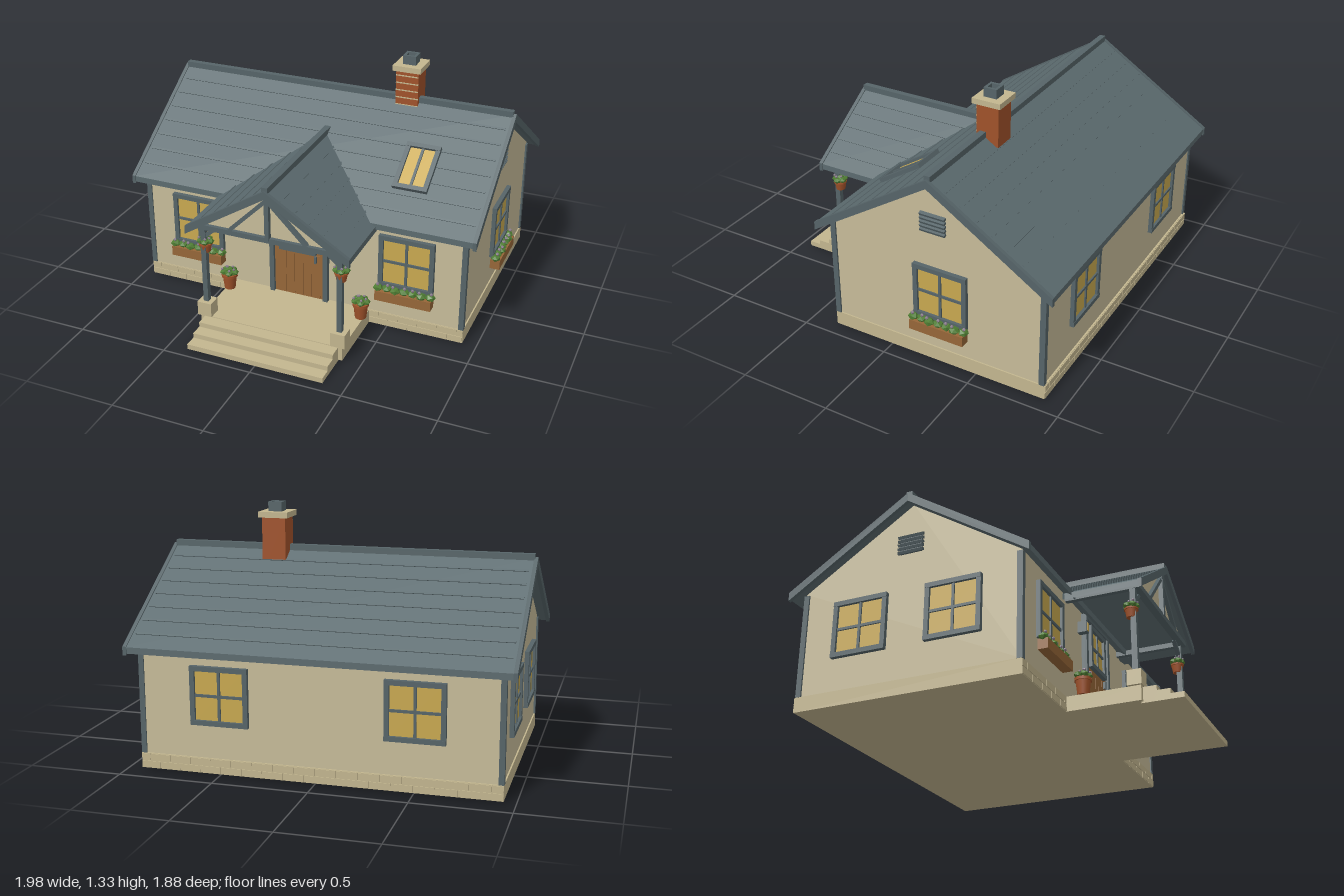
import * as THREE from 'three';

const mat = (name, color) => {
  const m = new THREE.MeshStandardMaterial({ color });
  m.name = name;
  return m;
};
const M = {
  wall: mat('plaster', 0xc6bb99), stone: mat('stone', 0xc3b68f), roof: mat('slate', 0x5c6b6f),
  trim: mat('painted trim', 0x566468), glass: mat('lit glass', 0xc8a850), wood: mat('wood', 0x966638),
  brick: mat('terracotta brick', 0xa0522a), leaf: mat('leaf', 0x4f7d33), bloom: mat('bloom', 0x8a7c8c),
};
const SLOPE = 0.64, RIDGE_Z = -0.27, RIDGE_Y = 1.08, FLOOR = 0.087;

function add(parent, name, geo, material, x = 0, y = 0, z = 0) {
  const m = new THREE.Mesh(geo, material);
  m.name = name;
  m.position.set(x, y, z);
  parent.add(m);
  return m;
}
const box = (p, name, material, w, h, d, x, y, z) =>
  add(p, name, new THREE.BoxGeometry(w, h, d), material, x, y, z);

function group(parent, name, x = 0, y = 0, z = 0, ry = 0) {
  const g = new THREE.Group();
  g.name = name;
  g.position.set(x, y, z);
  g.rotation.y = ry;
  parent.add(g);
  return g;
}

// straight bar between two points in a plane of constant z
function bar(p, name, x0, y0, x1, y1, z, w, d) {
  const m = box(p, name, M.trim, Math.hypot(x1 - x0, y1 - y0), w, d, (x0 + x1) / 2, (y0 + y1) / 2, z);
  m.rotation.z = Math.atan2(y1 - y0, x1 - x0);
}

function extrude(points, depth) {
  const shape = new THREE.Shape(points.map(([x, y]) => new THREE.Vector2(x, y)));
  return new THREE.ExtrudeGeometry(shape, { depth, bevelEnabled: false });
}

// folded roof section running along z
const chevron = (top, half, slope, t, depth) => extrude([
  [0, top], [-half, top - half * slope], [-half, top - half * slope - t],
  [0, top - t], [half, top - half * slope - t], [half, top - half * slope]], depth);

// sheet, raised course lines, rake boards and ridge cap; clip trims the rear end
function gableRoof(p, name, top, half, slope, z0, z1, courses, rakes, clip = g => g) {
  const g = group(p, name), len = z1 - z0;
  add(g, 'roofSheet', clip(chevron(top, half, slope, 0.033, len).translate(0, 0, z0)), M.roof);
  for (const s of [-1, 1]) for (let i = 1; i <= courses; i++) {
    const d = half * i / (courses + 1);
    const geo = new THREE.BoxGeometry(0.012, 0.008, len - 0.04).rotateZ(-s * Math.atan(slope))
      .translate(s * d, top - slope * d, (z0 + z1) / 2);
    add(g, 'roofCourse', clip(geo), M.roof);
  }
  for (const z of rakes) add(g, 'rakeBoard', chevron(top + 0.006, half + 0.004, slope, 0.046, 0.02), M.trim, 0, 0, z);
  add(g, 'ridgeCap', clip(new THREE.BoxGeometry(0.034, 0.032, len).translate(0, top + 0.006, (z0 + z1) / 2)), M.trim);
  return g;
}

// framed window facing +z, centred on its origin
function windowUnit(p, name, w, h, x, y, z, ry = 0, cross = true) {
  const g = group(p, name, x, y, z, ry), f = 0.025;
  box(g, 'pane', M.glass, w - f, h - f, 0.008, 0, 0, 0.004);
  for (const s of [-1, 1]) {
    box(g, 'frameSide', M.trim, f, h, 0.022, s * (w - f) / 2, 0, 0.011);
    box(g, 'frameRail', M.trim, w, f, 0.024, 0, s * (h - f) / 2, 0.012);
  }
  box(g, 'mullion', M.trim, 0.014, h - f, 0.016, 0, 0, 0.008);
  if (cross) box(g, 'crossbar', M.trim, w - f, 0.014, 0.016, 0, 0, 0.008);
  return g;
}

function tuft(p, x, y, z, r, i) {
  const leaf = add(p, 'leaves', new THREE.IcosahedronGeometry(r, 0), M.leaf, x, y, z);
  leaf.scale.y = 0.75;
  leaf.rotation.y = i * 1.7;
  add(p, 'flower', new THREE.IcosahedronGeometry(r * 0.34, 0), M.bloom, x + r * 0.3 * Math.sin(i * 2.3), y + r * 0.85, z + r * 0.3);
}

function flowerBox(p, x, y, z, ry = 0) {
  const g = group(p, 'flowerBox', x, y, z, ry);
  box(g, 'trough', M.wood, 0.31, 0.055, 0.055, 0, 0.0275, 0.03);
  for (let i = 0; i < 7; i++) tuft(g, (i - 3) * 0.048, 0.066, 0.03 + 0.005 * Math.sin(i * 4), 0.029, i);
}

function planter(p, name, x, y, z, r, h) {
  const g = group(p, name, x, y, z);
  add(g, 'pot', new THREE.CylinderGeometry(r, r * 0.75, h, 10), M.brick, 0, h / 2, 0);
  add(g, 'potRim', new THREE.CylinderGeometry(r * 1.1, r * 1.1, h * 0.18, 10), M.brick, 0, h * 0.92, 0);
  for (let i = 0; i < 5; i++) {
    const a = i * Math.PI * 0.4;
    tuft(g, Math.cos(a) * r * 0.75, h + 0.014, Math.sin(a) * r * 0.65, 0.024, i);
  }
  tuft(g, 0, h + 0.026, 0, 0.024, 2);
}

export function createModel() {
  const root = new THREE.Group();
  root.name = 'cottage';
  const house = group(root, 'house', -0.007);

  // foundation with coursed blocks on the long sides
  box(house, 'foundation', M.stone, 1.865, FLOOR - 0.008, 1.235, 0, (FLOOR + 0.008) / 2, -0.2725);
  const blockRow = (x0, x1, z) => {
    for (let row = 0; row < 2; row++) {
      for (let x = x0 - (row ? 0.055 : 0); x < x1 - 0.01; x += 0.11) {
        const a = Math.max(x, x0), b = Math.min(x + 0.105, x1);
        if (b - a > 0.01) box(house, 'stoneBlock', M.stone, b - a, 0.035, 0.006, (a + b) / 2, 0.028 + row * 0.039, z);
      }
    }
  };
  blockRow(-0.93, -0.41, 0.346);
  blockRow(0.41, 0.93, 0.346);
  blockRow(-0.93, 0.93, -0.891);

  // walls with gable ends
  const wall = extrude([[-0.34, FLOOR], [0.88, FLOOR], [0.88, 0.66], [-RIDGE_Z, 1.055], [-0.34, 0.66]], 1.85);
  add(house, 'walls', wall.rotateY(Math.PI / 2), M.wall, -0.925);
  for (const x of [-0.92, 0.92]) for (const z of [0.332, -0.872])
    box(house, 'cornerPost', M.trim, 0.028, 0.56, 0.03, x, FLOOR + 0.28, z);

  // main roof
  const main = gableRoof(house, 'mainRoof', RIDGE_Y, 0.67, SLOPE, -0.975, 0.975, 7, [-0.99, 0.97]);
  main.rotation.y = Math.PI / 2;
  main.position.z = RIDGE_Z;

  // chimney
  const ch = group(house, 'chimney', 0.387, 0, -0.295);
  box(ch, 'stack', M.brick, 0.128, 0.3, 0.125, 0, 1.1, 0);
  for (let i = 0; i < 5; i++) box(ch, 'mortarLine', M.stone, 0.128, 0.006, 0.004, 0, 1.055 + i * 0.042, 0.0635);
  box(ch, 'chimneyCap', M.stone, 0.16, 0.03, 0.16, 0, 1.265, 0);
  for (const s of [-1, 1]) {
    box(ch, 'flueSide', M.trim, 0.014, 0.05, 0.074, s * 0.03, 1.305, 0);
    box(ch, 'flueEnd', M.trim, 0.046, 0.05, 0.014, 0, 1.305, s * 0.03);
  }

  // skylight lying in the front slope
  const sky = windowUnit(house, 'skylight', 0.19, 0.285, 0.567, RIDGE_Y - SLOPE * 0.362 + 0.002, 0.092, 0, false);
  sky.rotation.x = -(Math.PI / 2 - Math.atan(SLOPE));

  // windows and flower boxes
  const W = 0.305, H = 0.305, WY = 0.415, half = Math.PI / 2;
  for (const s of [-1, 1]) {
    windowUnit(house, 'frontWindow', W, H, s * 0.61, WY, 0.34);
    flowerBox(house, s * 0.61, 0.195, 0.345);
    windowUnit(house, 'backWindow', W, H, s * 0.5, WY, -0.88, Math.PI);
    windowUnit(house, 'leftGableWindow', W, H, -0.925, WY, -0.28 + s * 0.26, -half);
  }
  windowUnit(house, 'rightGableWindow', W, H, 0.925, WY, -0.305, half);
  flowerBox(house, 0.93, 0.195, -0.305, half);

  // gable vents
  for (const s of [-1, 1]) {
    const vent = group(house, 'gableVent', s * 0.925, 0.82, RIDGE_Z, s * half);
    box(vent, 'ventBack', M.trim, 0.125, 0.1, 0.008, 0, 0, 0.004);
    for (let i = -2; i <= 2; i++) box(vent, 'louver', M.trim, 0.142, 0.014, 0.018, 0, i * 0.022, 0.01).rotation.x = 0.4;
  }

  // front door
  const door = group(house, 'frontDoor', 0, 0, 0.34);
  box(door, 'doorLeaf', M.wood, 0.29, 0.545, 0.012, 0, FLOOR + 0.2725, 0.006);
  for (const x of [-0.1, -0.05, 0, 0.05, 0.1]) box(door, 'plank', M.wood, 0.046, 0.26, 0.006, x, 0.225, 0.014);
  for (const s of [-1, 1]) box(door, 'doorJamb', M.trim, 0.026, 0.56, 0.03, s * 0.158, FLOOR + 0.28, 0.015);
  box(door, 'doorHead', M.trim, 0.34, 0.026, 0.03, 0, 0.634, 0.015);
  windowUnit(door, 'doorWindow', 0.215, 0.24, -0.002, 0.485, 0.012);
  box(door, 'doorHandle', M.trim, 0.012, 0.04, 0.02, 0.1, 0.335, 0.022);

  // wall lantern
  const lamp = group(house, 'wallLantern', -0.22, 0.54, 0.34);
  box(lamp, 'lanternBody', M.trim, 0.036, 0.062, 0.05, 0, 0, 0.03);
  box(lamp, 'lanternGlass', M.glass, 0.022, 0.045, 0.006, 0, 0, 0.055);

  // porch floor and steps
  const porch = group(house, 'porch');
  box(porch, 'porchFloor', M.stone, 0.815, FLOOR - 0.008, 0.4, 0, (FLOOR + 0.008) / 2, 0.535);
  [0.083, 0.056, 0.029].forEach((h, i) =>
    box(porch, 'step', M.stone, 0.768, h, 0.08, 0, h / 2, 0.765 + i * 0.068));

  // porch roof, trimmed along the valley
  const clip = geo => {
    const p = geo.attributes.position;
    for (let i = 0; i < p.count; i++) if (p.getZ(i) < 0.2)
      p.setZ(i, Math.min(RIDGE_Z + (RIDGE_Y - p.getY(i)) / SLOPE - 0.03, 0.36));
    geo.computeVertexNormals();
    return geo;
  };
  gableRoof(porch, 'porchRoof', 0.918, 0.452, 0.63, 0, 0.765, 5, [0.755], clip);

  // gable infill and timber truss
  add(porch, 'porchGable', extrude([[-0.38, 0.64], [0.38, 0.64], [0, 0.888]], 0.01), M.wall, 0, 0, 0.715);
  box(porch, 'tieBeam', M.trim, 0.8, 0.028, 0.04, 0, 0.632, 0.725);
  box(porch, 'kingPost', M.trim, 0.024, 0.26, 0.03, 0, 0.765, 0.735);
  for (const s of [-1, 1]) {
    bar(porch, 'trussStrut', s * 0.01, 0.85, s * 0.215, 0.645, 0.735, 0.02, 0.024);
    bar(porch, 'kneeBrace', s * 0.383, 0.555, s * 0.3, 0.625, 0.705, 0.02, 0.022);
    box(porch, 'sideBeam', M.trim, 0.028, 0.028, 0.38, s * 0.383, 0.632, 0.53);
    box(porch, 'porchPost', M.trim, 0.028, 0.48, 0.03, s * 0.383, 0.39, 0.705);
    box(porch, 'postBase', M.stone, 0.08, 0.08, 0.075, s * 0.383, FLOOR + 0.04, 0.705);
    planter(porch, 'hangingBasket', s * 0.383, 0.462, 0.692, 0.034, 0.05);
    planter(porch, 'floorPot', s * 0.39, FLOOR, 0.43, 0.041, 0.088);
  }
  return root;
}
